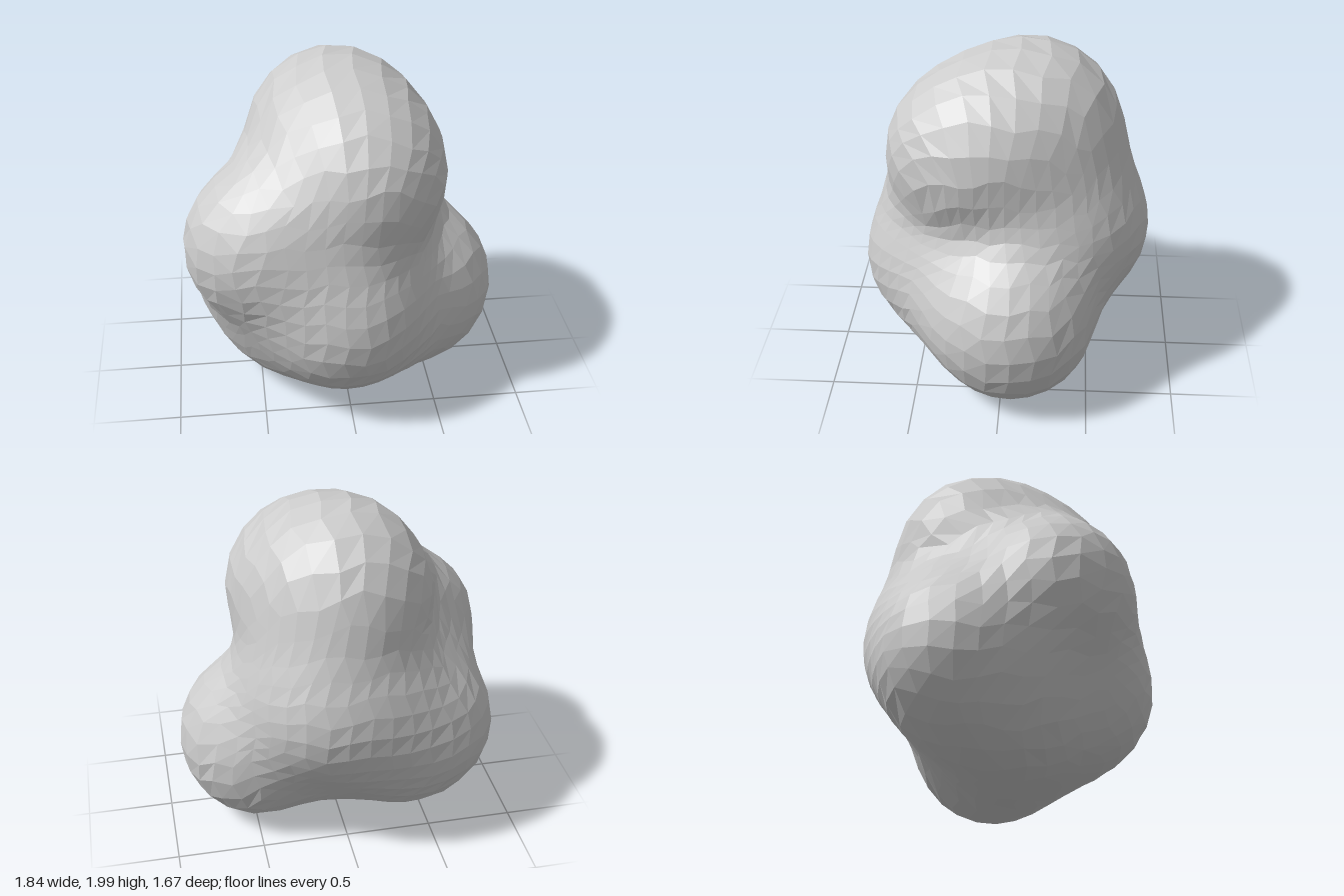
import * as THREE from 'three';

// Overlapping lobes that make up the lump: centre and radii
const LOBES = [
  { c: [-0.03, 1.44, -0.15], r: [0.51, 0.56, 0.53] },  // crown
  { c: [0.08, 1.38, 0.15], r: [0.5, 0.5, 0.52] },      // front of the head
  { c: [-0.1, 1.1, 0.17], r: [0.4, 0.4, 0.4] },        // slope below the head
  { c: [0.46, 0.52, -0.06], r: [0.46, 0.5, 0.48] },    // low lobe on +x
  { c: [0.24, 0.54, 0.14], r: [0.37, 0.37, 0.37] },    // saddle between front and +x
  { c: [-0.42, 1.01, 0.23], r: [0.5, 0.49, 0.46] },    // high lobe, -x front
  { c: [-0.4, 0.65, -0.27], r: [0.5, 0.49, 0.48] },    // low lobe, -x back
  { c: [-0.3, 0.48, 0.0], r: [0.43, 0.47, 0.46] },     // foot on -x
  { c: [-0.02, 0.64, 0.33], r: [0.48, 0.5, 0.5] },     // front lobe
  { c: [0.09, 0.93, -0.32], r: [0.47, 0.5, 0.51] },    // back lobe
  { c: [-0.17, 0.86, -0.32], r: [0.41, 0.41, 0.41] },  // ridge from back lobe to -x
  { c: [0.08, 0.5, -0.05], r: [0.38, 0.38, 0.38] },    // underside between the feet
].map(({ c, r }) => ({ c: new THREE.Vector3(...c), r: new THREE.Vector3(...r), min: Math.min(...r) }));

const BLEND = 0.24;
const CENTRE = new THREE.Vector3(0, 0.85, 0);

// Distance to the softly merged lobes
function distance(p) {
  const q = new THREE.Vector3();
  let d = Infinity;
  for (const { c, r, min } of LOBES) {
    const e = (q.copy(p).sub(c).divide(r).length() - 1) * min;
    const h = Math.max(BLEND - Math.abs(d - e), 0) / BLEND;
    d = Math.min(d, e) - h * h * BLEND / 4;
  }
  return d;
}

// Walk inwards along a direction until the surface is met
function surfacePoint(dir) {
  const p = new THREE.Vector3();
  let t = 1.8;
  for (let i = 0; i < 80; i++) {
    const d = distance(p.copy(CENTRE).addScaledVector(dir, t));
    if (d < 1e-4) break;
    t -= d;
  }
  return p.copy(CENTRE).addScaledVector(dir, t);
}

export function createModel() {
  // Cube grid rounded into a ball of quads, loosened a little, then pulled onto the lobes
  const box = new THREE.BoxGeometry(2, 2, 2, 11, 11, 11);
  const pos = box.attributes.position;
  const even = (v) => Math.tan(v * Math.PI / 4);
  const wobble = (a, b) => 0.02 * Math.sin(a * 17 + b * 11);
  const dir = new THREE.Vector3();
  for (let i = 0; i < pos.count; i++) {
    const { x, y, z } = dir.set(even(pos.getX(i)), even(pos.getY(i)), even(pos.getZ(i))).normalize();
    dir.set(x + wobble(y, z), y + wobble(z, x), z + wobble(x, y)).normalize();
    const p = surfacePoint(dir);
    pos.setXYZ(i, p.x, p.y, p.z);
  }

  // Centre it and stand it on the ground
  box.computeBoundingBox();
  const mid = box.boundingBox.getCenter(new THREE.Vector3());
  box.translate(-mid.x, -box.boundingBox.min.y, -mid.z);

  const geometry = box.toNonIndexed();
  geometry.computeVertexNormals();

  const rock = new THREE.Mesh(geometry, new THREE.MeshStandardMaterial({ color: 0xcccccc, flatShading: true }));
  rock.name = 'rock';
  const group = new THREE.Group();
  group.name = 'lumpyRock';
  group.add(rock);
  return group;
}
